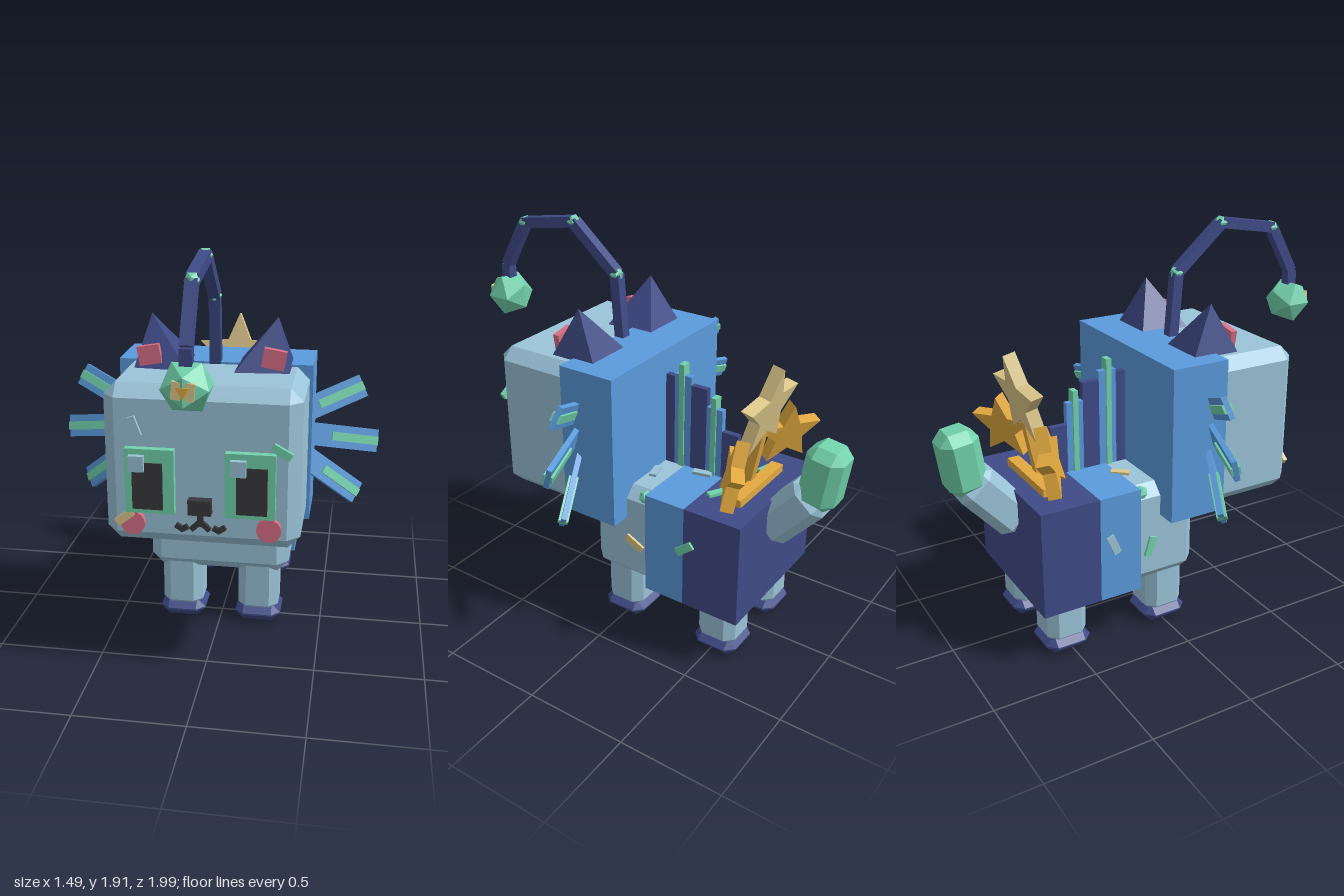
import * as THREE from 'three';
import { ConvexGeometry } from 'three/addons/geometries/ConvexGeometry.js';

const mat = (name, color) => {
  const m = new THREE.MeshStandardMaterial({ color });
  m.name = name;
  return m;
};

export function createModel() {
  const root = new THREE.Group();
  root.name = 'cubeCat';
  const light = mat('paleBlue', 0x9bc4d9), blue = mat('blue', 0x5a9bdc), navy = mat('navy', 0x3f4b87);
  const green = mat('mint', 0x72d2ac), pink = mat('pink', 0xd96f85), dark = mat('charcoal', 0x38383c);
  const gold = mat('gold', 0xe2a93f), tan = mat('sand', 0xdcc78a);

  const add = (name, geo, m, x = 0, y = 0, z = 0, rx = 0, ry = 0, rz = 0) => {
    const mesh = new THREE.Mesh(geo, m);
    mesh.name = name;
    mesh.position.set(x, y, z);
    mesh.rotation.set(rx, ry, rz);
    root.add(mesh);
    return mesh;
  };
  const box = (w, h, d) => new THREE.BoxGeometry(w, h, d);
  // box with every edge cut at 45 degrees
  const chamferBox = (w, h, d, c) => {
    const pts = [];
    for (const i of [-1, 1]) for (const j of [-1, 1]) for (const k of [-1, 1]) {
      const a = w / 2, b = h / 2, e = d / 2;
      pts.push(new THREE.Vector3(i * a, j * (b - c), k * (e - c)),
        new THREE.Vector3(i * (a - c), j * b, k * (e - c)),
        new THREE.Vector3(i * (a - c), j * (b - c), k * e));
    }
    return new ConvexGeometry(pts);
  };
  // straight bar between two points
  const bar = (name, a, b, w, t, m) => {
    const p = new THREE.Vector3(...a), q = new THREE.Vector3(...b);
    const mesh = add(name, box(w, p.distanceTo(q), t), m);
    mesh.position.copy(p).lerp(q, 0.5);
    mesh.quaternion.setFromUnitVectors(new THREE.Vector3(0, 1, 0), q.sub(p).normalize());
    return mesh;
  };
  const gem = (name, r, x, y, z) => add(name, new THREE.IcosahedronGeometry(r, 0), green, x, y, z);

  // head and body blocks
  add('head', chamferBox(0.85, 0.715, 0.56, 0.055), light, 0, 1.0025, 0.34);
  add('hood', box(0.88, 0.74, 0.285), blue, 0, 1.0, 0.077);
  add('body', chamferBox(0.68, 0.5, 0.76, 0.055), light, 0, 0.535, -0.24);
  add('middleBlock', box(0.7, 0.52, 0.21), blue, 0, 0.53, -0.28);
  add('rearBlock', box(0.7, 0.52, 0.29), navy, 0, 0.53, -0.53);

  // legs and shoes
  for (const s of [-1, 1]) for (const z of [0.01, -0.52]) {
    add('leg', chamferBox(0.2, 0.32, 0.2, 0.042), light, s * 0.19, 0.21, z);
    add('shoe', chamferBox(0.225, 0.092, 0.225, 0.042), navy, s * 0.19, 0.046, z);
  }

  // ears: skewed pyramids
  for (const s of [-1, 1]) {
    const corners = [[0.345, 0.1], [0.1, 0.1], [0.1, 0.36], [0.345, 0.34]];
    const pts = corners.map(([x, z]) => new THREE.Vector3(s * x, 1.355, z));
    pts.push(new THREE.Vector3(s * 0.282, 1.585, 0.227));
    add('ear', new ConvexGeometry(pts), navy);
    add('innerEar', box(0.1, 0.085, 0.03), pink, s * 0.275, 1.42, 0.325, 0, 0, -s * 0.17);
  }

  // eyes, cheeks, nose and mouth
  for (const s of [-1, 1]) {
    add('eyeFrame', box(0.213, 0.29, 0.04), green, s * 0.215, 0.95, 0.633);
    add('pupil', box(0.132, 0.21, 0.02), dark, s * 0.223, 0.93, 0.65);
    add('eyeGlint', box(0.066, 0.07, 0.025), light, s < 0 ? -0.267 : 0.167, 1.035, 0.666);
    add('cheek', new THREE.CylinderGeometry(0.054, 0.054, 0.025, 16), pink, s * 0.295, 0.75, 0.63, Math.PI / 2);
    bar('mouth', [0, 0.77, 0.628], [s * 0.04, 0.732, 0.628], 0.022, 0.02, dark);
    bar('mouth', [s * 0.055, 0.745, 0.628], [s * 0.085, 0.728, 0.628], 0.022, 0.02, dark);
    bar('mouth', [s * 0.075, 0.728, 0.628], [s * 0.107, 0.75, 0.628], 0.022, 0.02, dark);
  }
  add('nose', box(0.1, 0.068, 0.05), dark, 0, 0.844, 0.637);
  add('mouth', box(0.025, 0.07, 0.02), dark, 0, 0.785, 0.628);

  // side frills: three swept bars each with a mint rib
  for (const s of [-1, 1]) {
    for (const [y0, x1, y1] of [[1.14, 0.66, 1.245], [1.035, 0.735, 0.98], [0.925, 0.65, 0.715]]) {
      const a = new THREE.Vector3(s * 0.4, y0, 0.16), b = new THREE.Vector3(s * x1, y1, 0.065);
      bar('frill', a.toArray(), b.toArray(), 0.105, 0.025, blue);
      const start = b.clone().add(a.clone().sub(b).setLength(0.22));
      bar('frillRib', start.toArray(), b.toArray(), 0.04, 0.045, green);
    }
  }

  // lure: jointed rod with a faceted bulb
  const rod = [[0.195, 1.34], [0.222, 1.67], [0.465, 1.88], [0.765, 1.83], [0.895, 1.6], [0.895, 1.5]];
  for (let i = 0; i < rod.length - 1; i++) {
    bar('lureRod', [0, rod[i][1], rod[i][0]], [0, rod[i + 1][1], rod[i + 1][0]], 0.05, 0.05, navy);
    if (i > 0 && i < 4) gem('lureJoint', 0.034, 0, rod[i][1], rod[i][0]);
  }
  gem('lureBulb', 0.112, 0, 1.447, 0.893);
  add('bulbChip', box(0.09, 0.07, 0.02), tan, 0, 1.452, 0.975, 0, 0, -0.1);
  add('bulbChipCenter', new THREE.CylinderGeometry(0.03, 0.03, 0.02, 3), gold, 0, 1.452, 0.982, Math.PI / 2);

  // back crest: stepped plates with mint rods
  [[-0.06, -0.115, 1.245], [-0.115, -0.205, 1.26], [-0.205, -0.29, 1.22], [-0.29, -0.375, 1.135],
    [-0.375, -0.46, 1.03], [-0.46, -0.52, 0.92]].forEach(([z0, z1, top], i) =>
    add('crestPlate', box(0.03, top - 0.75, z0 - z1), i % 2 ? blue : navy, 0, (top + 0.75) / 2, (z0 + z1) / 2));
  for (const [z, top] of [[-0.155, 1.315], [-0.33, 1.19], [-0.49, 0.925]])
    add('crestRod', box(0.045, top - 0.75, 0.027), green, 0, (top + 0.75) / 2, z);

  // tail
  add('tail', chamferBox(0.2, 0.36, 0.2, 0.045), light, 0, 0.745, -0.755, -0.72);
  add('tailTip', chamferBox(0.19, 0.305, 0.18, 0.045), green, 0, 0.965, -0.893, -0.14);

  // stars above the rear block
  const star = (name, r, m, x, y, z, yaw) => {
    const shape = new THREE.Shape();
    for (let i = 0; i < 10; i++) {
      const a = Math.PI / 2 + i * Math.PI / 5, q = i % 2 ? r * 0.45 : r;
      shape[i ? 'lineTo' : 'moveTo'](Math.cos(a) * q, Math.sin(a) * q);
    }
    shape.closePath();
    const geo = new THREE.ExtrudeGeometry(shape, { depth: 0.06, bevelEnabled: false }).translate(0, 0, -0.03);
    add(name, geo, m, x, y, z, -0.22, yaw, 0).rotation.order = 'YXZ';
  };
  star('bigStar', 0.22, tan, 0, 1.2, -0.59, 0);
  star('smallStar', 0.168, gold, 0.245, 0.98, -0.575, 0.55);
  star('smallStar', 0.168, gold, -0.245, 0.98, -0.575, -0.55);
  bar('starStem', [0, 0.79, -0.51], [0, 1.12, -0.575], 0.045, 0.045, gold);
  add('starBase', box(0.4, 0.045, 0.06), gold, 0, 0.805, -0.56);

  // confetti chips and studs
  const chip = (m, x, y, z, rx, ry, rz) => add('chip', box(0.035, 0.09, 0.02), m, x, y, z, rx, ry, rz);
  chip(light, -0.28, 1.185, 0.627, 0, 0, 0.35);
  chip(green, 0.345, 1.105, 0.632, 0, 0, 1.05);
  chip(tan, -0.33, 0.775, 0.636, 0, 0, -0.9);
  const flat = Math.PI / 2;
  for (const [m, x, y, z, turn] of [[tan, -0.14, 0.787, -0.165, 0.7], [light, 0.04, 0.795, -0.29, -0.2],
    [green, 0.155, 0.795, -0.44, -1.05], [light, 0.14, 0.787, -0.09, 1.3], [green, -0.17, 0.795, -0.52, -1.3]])
    chip(m, x, y, z, flat, 0, turn);
  // chips on the flanks
  const side = (m, x, y, z, tilt) => add('chip', box(0.02, 0.1, 0.038), m, x, y, z, tilt);
  side(tan, 0.342, 0.5, -0.11, 1.1);
  side(green, 0.352, 0.585, -0.395, -0.9);
  side(green, -0.342, 0.48, -0.12, 0.3);
  side(light, -0.352, 0.55, -0.32, -0.4);
  for (const s of [-1, 1]) gem('stud', 0.034, s * 0.315, 0.755, -0.155);

  return root;
}
